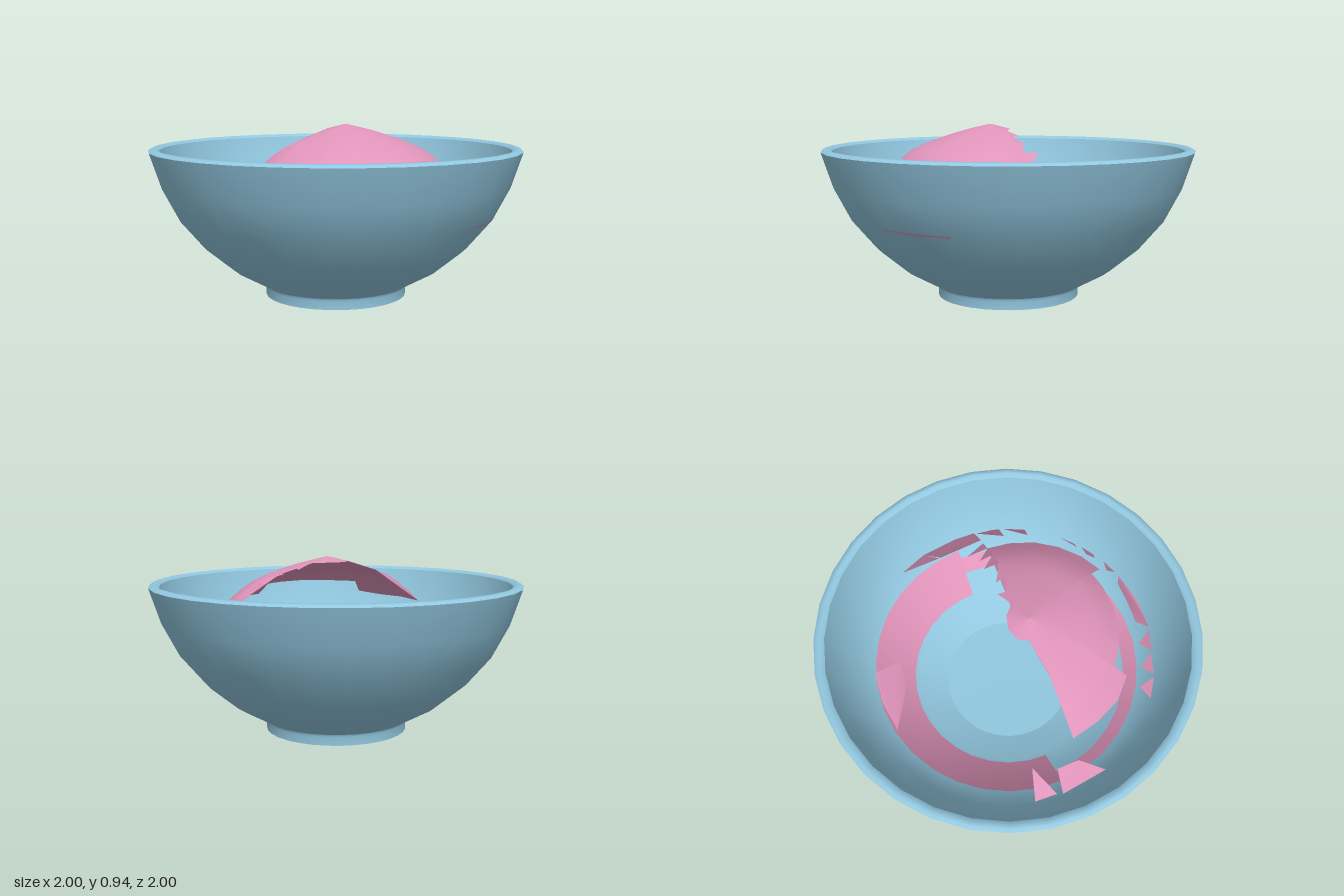
import * as THREE from 'three';

const glaze = new THREE.MeshStandardMaterial({ color: 0x92c8e0 });
glaze.name = 'blueGlaze';
const pink = new THREE.MeshStandardMaterial({ color: 0xe094ba, side: THREE.DoubleSide });
pink.name = 'pinkFilling';

// Piecewise linear lookup in [[x, y], ...]
function lookup(table, x) {
  for (let i = 1; i < table.length; i++) {
    const [x0, y0] = table[i - 1], [x1, y1] = table[i];
    if (x <= x1 || i === table.length - 1) return y0 + (y1 - y0) * (x - x0) / (x1 - x0);
  }
}

const moundY = (x, z) => lookup(
  [[0, 0.94], [0.16, 0.9], [0.28, 0.86], [0.4, 0.815], [0.5, 0.74], [0.6, 0.65]], Math.hypot(x, z - 0.11));
const skirtY = (x, z) => lookup([[0.57, 0.68], [0.72, 0.57], [0.81, 0.46]], Math.hypot(x, z));

function lathe(name, points, material, start = 0, sweep = Math.PI * 2) {
  const segments = Math.max(2, Math.round(32 * sweep / (Math.PI * 2)));
  const geo = new THREE.LatheGeometry(points.map(p => new THREE.Vector2(...p)), segments, start, sweep);
  const mesh = new THREE.Mesh(geo, material);
  mesh.name = name;
  return mesh;
}

function surface(name, positions, index) {
  const geo = new THREE.BufferGeometry();
  geo.setAttribute('position', new THREE.Float32BufferAttribute(positions, 3));
  geo.setIndex(index);
  geo.computeVertexNormals();
  const mesh = new THREE.Mesh(geo, pink);
  mesh.name = name;
  return mesh;
}

// Flat torn piece given by [x, z] corners laid on a height rule
function shard(name, corners, height) {
  const index = [];
  for (let i = 1; i < corners.length - 1; i++) index.push(0, i, i + 1);
  return surface(name, corners.flatMap(([x, z]) => [x, height(x, z), z]), index);
}

// Grid of rings shrinking from the outline to the mound's peak
function mound() {
  const outline = [
    [0.57, 0.12], [0.55, 0.24], [0.5, 0.37], [0.42, 0.48], [0.32, 0.57], [0.21, 0.63], [0.18, 0.56],
    [0.08, 0.58], [-0.05, 0.58], [-0.18, 0.55], [-0.28, 0.5], [-0.35, 0.44], [-0.4, 0.5], [-0.5, 0.4],
    [-0.56, 0.26], [-0.59, 0.11], [-0.3, 0.1], [-0.1, 0.07], [-0.07, 0.02], [0, 0], [0.07, 0.02], [0.11, 0.06], [0.3, 0.08]];
  const rings = 8, n = outline.length, cz = 0.115, pos = [], index = [];
  for (let k = 0; k <= rings; k++) for (const [ox, oz] of outline) {
    const x = ox * k / rings, z = cz + (oz - cz) * k / rings;
    pos.push(x, moundY(x, z), z);
  }
  for (let k = 0; k < rings; k++) for (let i = 0; i < n; i++) {
    const j = (i + 1) % n, a = k * n, b = a + n;
    if (k > 0) index.push(a + i, a + j, b + i);
    index.push(a + j, b + j, b + i);
  }
  return surface('fillingMound', pos, index);
}

export function createModel() {
  const model = new THREE.Group();

  // Bowl, split where the edges are sharp
  const bowl = new THREE.Group();
  bowl.name = 'bowl';
  bowl.add(
    lathe('footBase', [[0, 0], [0.385, 0]], glaze),
    lathe('footSide', [[0.385, 0], [0.385, 0.045], [0.392, 0.06]], glaze),
    lathe('outerWall', [[0.392, 0.06], [0.57, 0.16], [0.72, 0.285], [0.85, 0.44], [0.94, 0.615], [1, 0.8]], glaze),
    lathe('rim', [[1, 0.8], [0.985, 0.812], [0.965, 0.815], [0.945, 0.8]], glaze),
    lathe('innerWall', [[0.945, 0.8], [0.9, 0.64], [0.81, 0.45], [0.72, 0.36], [0.6, 0.26], [0.5, 0.2], [0.35, 0.14]], glaze),
    lathe('innerFloor', [[0.35, 0.14], [0, 0.13]], glaze));
  model.add(bowl);

  // Filling that lines the bowl, wide at the back and thin at the front
  const lining = new THREE.Group();
  lining.name = 'fillingLining';
  lining.add(
    lathe('backLining', [[0.73, 0.45], [0.63, 0.34], [0.53, 0.25]], pink, Math.PI / 2, Math.PI),
    lathe('frontLining', [[0.72, 0.375], [0.65, 0.315]], pink, -Math.PI / 2, Math.PI));
  model.add(lining);

  model.add(mound());

  // Torn teeth along the mound's back edge
  const teeth = [
    [[0.2, 0.1], [0.21, 0.03], [0.1, 0.08]], [[0.28, 0.05], [0.4, 0.12], [0.3, 0.11]],
    [[0.4, 0.03], [0.49, 0.12], [0.4, 0.12]], [[0.48, 0.04], [0.57, 0.12], [0.49, 0.12]],
    [[0.57, 0], [0.64, 0.12], [0.57, 0.12]]];
  for (const t of teeth) model.add(shard('moundTooth', t, moundY));

  // Remains of the filling's outer skirt
  const scraps = [
    [[-0.13, 0.8], [-0.11, 0.71], [0.02, 0.72], [0.15, 0.73], [0.22, 0.78], [0.05, 0.81]],
    [[-0.15, 0.79], [-0.23, 0.67], [-0.27, 0.74]], [[-0.28, 0.73], [-0.36, 0.62], [-0.39, 0.7]],
    [[-0.41, 0.69], [-0.45, 0.57], [-0.51, 0.62]], [[0.25, 0.77], [0.25, 0.71], [0.34, 0.74]],
    [[0.36, 0.69], [0.39, 0.65], [0.47, 0.66], [0.41, 0.71]], [[0.46, 0.63], [0.58, 0.57], [0.55, 0.63]],
    [[0.61, 0.38], [0.76, 0.29], [0.72, 0.41]], [[0.65, 0.25], [0.77, 0.13], [0.78, 0.27]],
    [[0.71, -0.35], [0.65, -0.14], [0.77, -0.2]], [[0.65, -0.13], [0.77, -0.2], [0.79, 0], [0.79, 0.12], [0.67, 0.12]],
    [[-0.78, -0.18], [-0.64, -0.14], [-0.79, -0.06]], [[-0.8, -0.03], [-0.69, -0.02], [-0.69, 0.1], [-0.77, 0.23]],
    [[-0.17, -0.7], [0, -0.72], [0.17, -0.7], [0.14, -0.56], [0, -0.57]]];
  for (const s of scraps) model.add(shard('skirtScrap', s, skirtY));

  // Thin seam of filling showing through the outer wall
  model.add(lathe('outerSeam', [[0.857, 0.45], [0.864, 0.46]], pink, 0.35, 0.45));

  return model;
}
